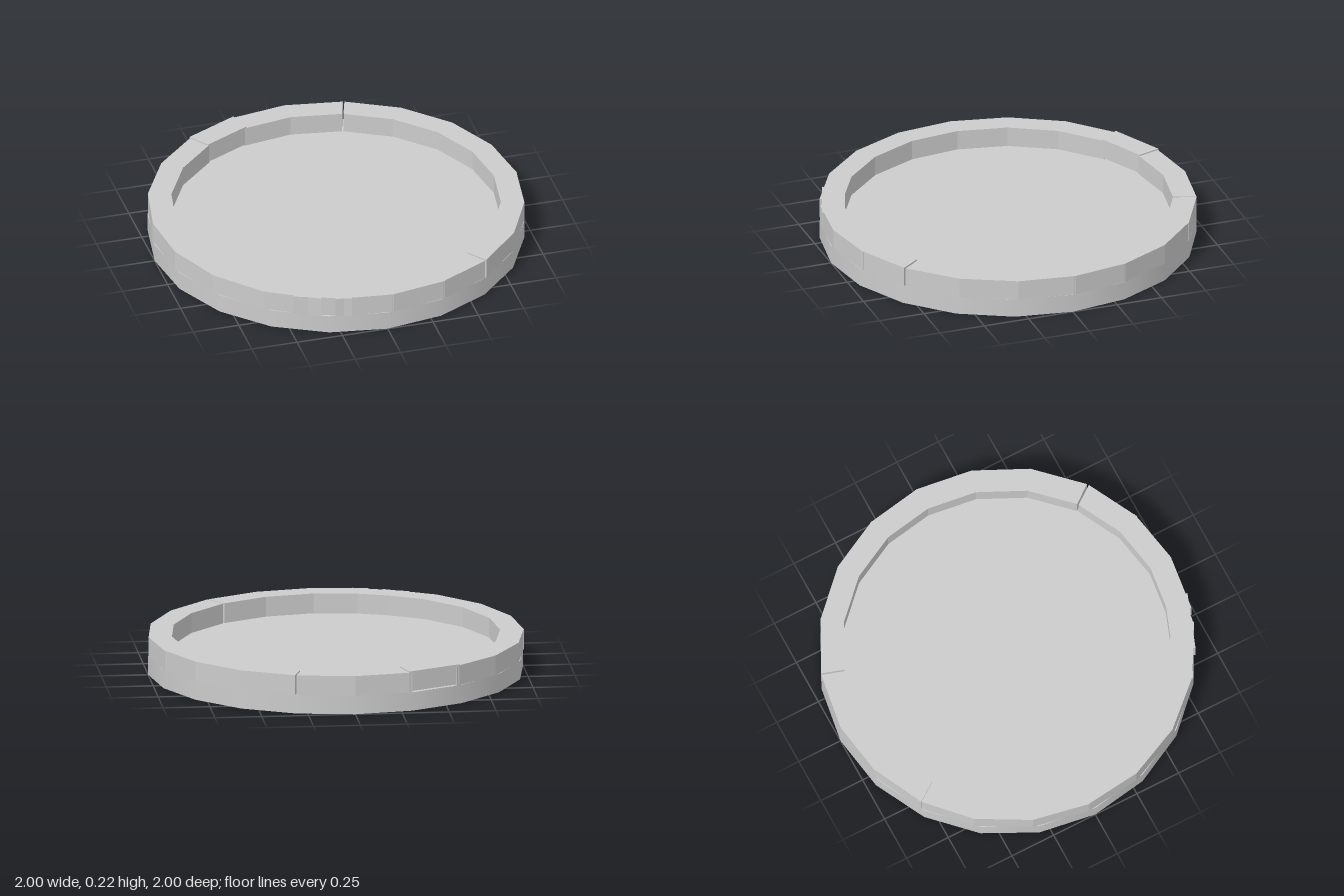
import * as THREE from 'three';

const BASE_H = 0.1, TOP = 0.208, OUTER = 1, INNER = 0.875;
const STEP = THREE.MathUtils.degToRad(18);

// One wall block: a straight-sided 18 degree wedge of the ring, starting at angle 0
function blockGeometry() {
  const c = Math.cos(STEP), s = Math.sin(STEP);
  const shape = new THREE.Shape([
    new THREE.Vector2(INNER, 0),
    new THREE.Vector2(OUTER, 0),
    new THREE.Vector2(OUTER * c, OUTER * s),
    new THREE.Vector2(INNER * c, INNER * s),
  ]);
  const geo = new THREE.ExtrudeGeometry(shape, { depth: TOP - BASE_H, bevelEnabled: false });
  return geo.rotateX(Math.PI / 2).translate(0, TOP, 0);
}

export function createModel() {
  const group = new THREE.Group();
  group.name = 'roundTray';
  const smooth = new THREE.MeshStandardMaterial({ color: 0xcccccc });
  const flat = new THREE.MeshStandardMaterial({ color: 0xcccccc, flatShading: true });

  // Twenty-sided floor disc with a smooth rim
  const base = new THREE.Mesh(new THREE.CylinderGeometry(OUTER, OUTER, BASE_H, 20), smooth);
  base.name = 'base';
  base.position.y = BASE_H / 2;
  group.add(base);

  // Hand-laid rim blocks: start angles in degrees from +x towards +z,
  // with thin gaps in places and an overlapping run at the front right
  const starts = [-1, 17, 35, 53.6, 70.5, 88, 101, 110.5, 128.5, 146.5, 164.5,
    182, 200, 218, 235, 252, 270, 288.5, 306, 324, 341.5];
  const wall = new THREE.Group();
  wall.name = 'rimWall';
  const geo = blockGeometry();
  starts.forEach((deg, i) => {
    const block = new THREE.Mesh(geo, flat);
    block.name = `rimBlock${i + 1}`;
    block.rotation.y = -THREE.MathUtils.degToRad(deg);
    // One block sits slightly proud
    if (deg === 235) block.position.y = 0.007;
    wall.add(block);
  });
  group.add(wall);
  return group;
}
